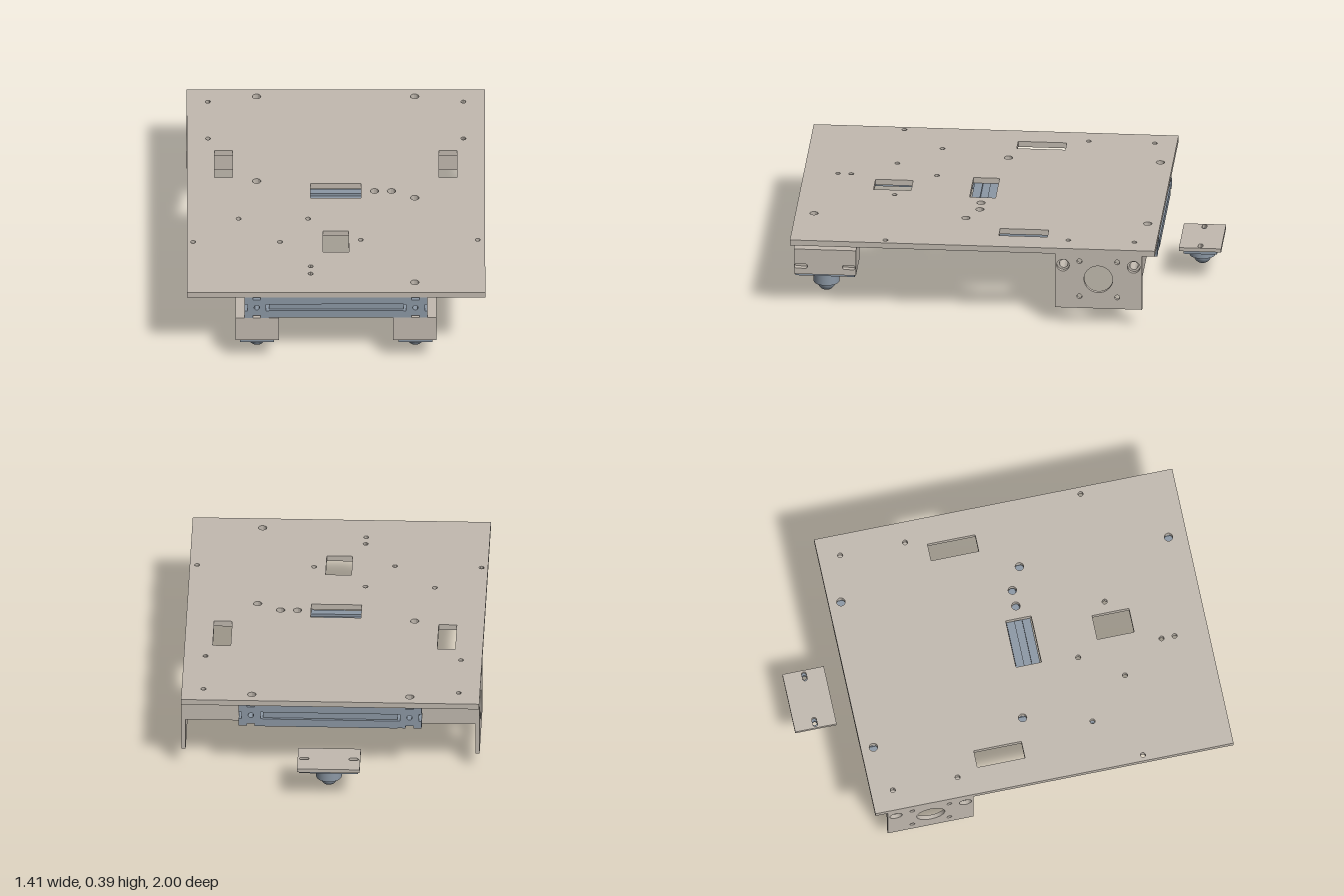
import * as THREE from 'three';
import { toCreasedNormals } from 'three/addons/utils/BufferGeometryUtils.js';

const panel = new THREE.MeshStandardMaterial({ name: 'warm grey panel', color: 0xc2bab0 });
const metal = new THREE.MeshStandardMaterial({ name: 'blue grey metal', color: 0x8c98a5 });

const rect = (x0, y0, x1, y1, Type = THREE.Path) =>
  new Type([[x0, y0], [x1, y0], [x1, y1], [x0, y1]].map(([x, y]) => new THREE.Vector2(x, y)));
const circle = (x, y, r) => new THREE.Path().absarc(x, y, r, 0, Math.PI * 2, true);
// Horizontal rounded slot: half length h, end radius r
const slot = (x, y, h, r) => {
  const p = new THREE.Path();
  p.absarc(x + h - r, y, r, -Math.PI / 2, Math.PI / 2, false);
  p.absarc(x - h + r, y, r, Math.PI / 2, Math.PI * 1.5, false);
  p.closePath();
  return p;
};

function extrude(shape, holes, depth) {
  shape.holes.push(...holes);
  const geo = new THREE.ExtrudeGeometry(shape, { depth, bevelEnabled: false, curveSegments: 16 });
  return toCreasedNormals(geo, 0.6);
}
// Shape drawn in (x, z); its top lies at yTop
const flatSheet = (shape, holes, yTop, t) => extrude(shape, holes, t).rotateX(Math.PI / 2).translate(0, yTop, 0);
// Shape drawn in (z, y); its +x face lies at xMax
const sideSheet = (shape, holes, xMax, t) => extrude(shape, holes, t).rotateY(-Math.PI / 2).translate(xMax, 0, 0);

function add(parent, name, geo, mat, x = 0, y = 0, z = 0) {
  const m = new THREE.Mesh(geo, mat);
  m.name = name;
  m.position.set(x, y, z);
  parent.add(m);
  return m;
}

// Square bar with a shallow groove on each side and a centre bore, along z
function groovedBar(length) {
  const h = 0.0575, w = 0.018, d = 0.013;
  const pts = [];
  const side = [[-h, -h], [-w, -h], [-w, -h + d], [w, -h + d], [w, -h]];
  for (let i = 0; i < 4; i++) {
    for (const [x, y] of side) {
      pts.push(new THREE.Vector2(x, y).rotateAround(new THREE.Vector2(), i * Math.PI / 2));
    }
  }
  return extrude(new THREE.Shape(pts), [circle(0, 0, 0.013)], length).translate(0, 0, -length / 2);
}

// Ball caster hanging from y = 0, flange long in x
function caster() {
  const g = new THREE.Group();
  g.name = 'ballCaster';
  add(g, 'casterFlange', flatSheet(rect(-0.14, -0.08, 0.14, 0.08, THREE.Shape),
    [circle(-0.117, 0, 0.011), circle(0.117, 0, 0.011)], 0, 0.016), metal);
  add(g, 'casterHousing', new THREE.CylinderGeometry(0.061, 0.061, 0.058, 40), metal, 0, -0.044, 0);
  add(g, 'casterBall', new THREE.SphereGeometry(0.043, 32, 20), metal, 0, -0.073, 0);
  return g;
}

export function createModel() {
  const model = new THREE.Group();
  model.name = 'robotChassis';
  const barY = 0.3025, railX = 0.375;

  // Deck with rectangular windows and screw holes
  const deckHoles = [
    rect(-0.575, -0.21, -0.49, 0.02), rect(0.487, -0.21, 0.572, 0.02),
    rect(-0.12, 0.072, 0.118, 0.195), rect(-0.062, 0.477, 0.06, 0.655),
  ];
  const small = [[-0.605, -0.625], [0.602, -0.625], [-0.605, -0.312], [0.602, -0.312], [-0.46, 0.37],
    [-0.132, 0.37], [-0.675, 0.568], [-0.265, 0.568], [0.117, 0.55], [0.67, 0.55], [-0.12, 0.775], [-0.12, 0.838]];
  const large = [[-0.375, -0.67], [0.372, -0.67], [-0.375, 0.05], [0.372, 0.192], [0.372, 0.912],
    [0.182, 0.135], [0.262, 0.135]];
  small.forEach(([x, z]) => deckHoles.push(circle(x, z, 0.012)));
  large.forEach(([x, z]) => deckHoles.push(circle(x, z, 0.02)));
  add(model, 'deck', flatSheet(rect(-0.705, -0.73, 0.705, 1, THREE.Shape), deckHoles, 0.388, 0.028), panel);

  // Frame: cross bars between the two rails
  const cross = groovedBar(0.635).rotateY(Math.PI / 2);
  for (const z of [-0.6645, 0.133, 0.9405]) add(model, 'crossBar', cross, metal, 0, barY, z);
  const rail = groovedBar(1.72);

  for (const s of [1, -1]) {
    add(model, 'sideRail', rail, metal, s * railX, barY, 0.14);

    // Motor bracket
    const holes = [circle(-0.4625, 0.235, 0.068)];
    for (const z of [-0.373, -0.552]) for (const y of [0.145, 0.325]) holes.push(circle(z, y, 0.012));
    for (const z of [-0.295, -0.63]) holes.push(circle(z, barY, 0.03));
    add(model, 'motorBracket', sideSheet(rect(-0.67, 0.086, -0.257, 0.36, THREE.Shape), holes,
      s > 0 ? 0.705 : -0.685, 0.02), panel);

    // Bored spacers joining the bracket to the rail
    for (const z of [-0.297, -0.63]) {
      add(model, 'bracketSpacer', sideSheet(rect(z - 0.04, 0.245, z + 0.04, 0.36, THREE.Shape),
        [circle(z, barY, 0.02)], s > 0 ? 0.685 : -0.4325, 0.2525), panel);
    }

    // Front caster block: solid core between slotted cheeks
    const block = new THREE.Group();
    block.name = 'casterBlock';
    add(block, 'blockCore', new THREE.BoxGeometry(0.145, 0.127, 0.295), panel, s * 0.3725, 0.1815, 0.8525);
    const cheekSlots = () => [slot(0.966, 0.158, 0.031, 0.011), slot(0.739, 0.158, 0.031, 0.011)];
    for (const xMax of [s * 0.3725 + 0.1025, s * 0.3725 - 0.0725]) {
      add(block, 'blockCheek', sideSheet(rect(0.705, 0.118, 1, 0.245, THREE.Shape), cheekSlots(), xMax, 0.03), panel);
    }
    model.add(block);

    const front = caster();
    front.rotation.y = Math.PI / 2;
    front.position.set(s * 0.3745, 0.118, 0.8525);
    model.add(front);
  }

  // Rear caster on its separate slotted plate
  add(model, 'rearCasterPlate', flatSheet(rect(-0.148, -1, 0.148, -0.8, THREE.Shape),
    [slot(-0.117, -0.9, 0.023, 0.011), slot(0.117, -0.9, 0.023, 0.011)], 0.175, 0.018), panel);
  const rear = caster();
  rear.position.set(0, 0.157, -0.9);
  model.add(rear);

  return model;
}
